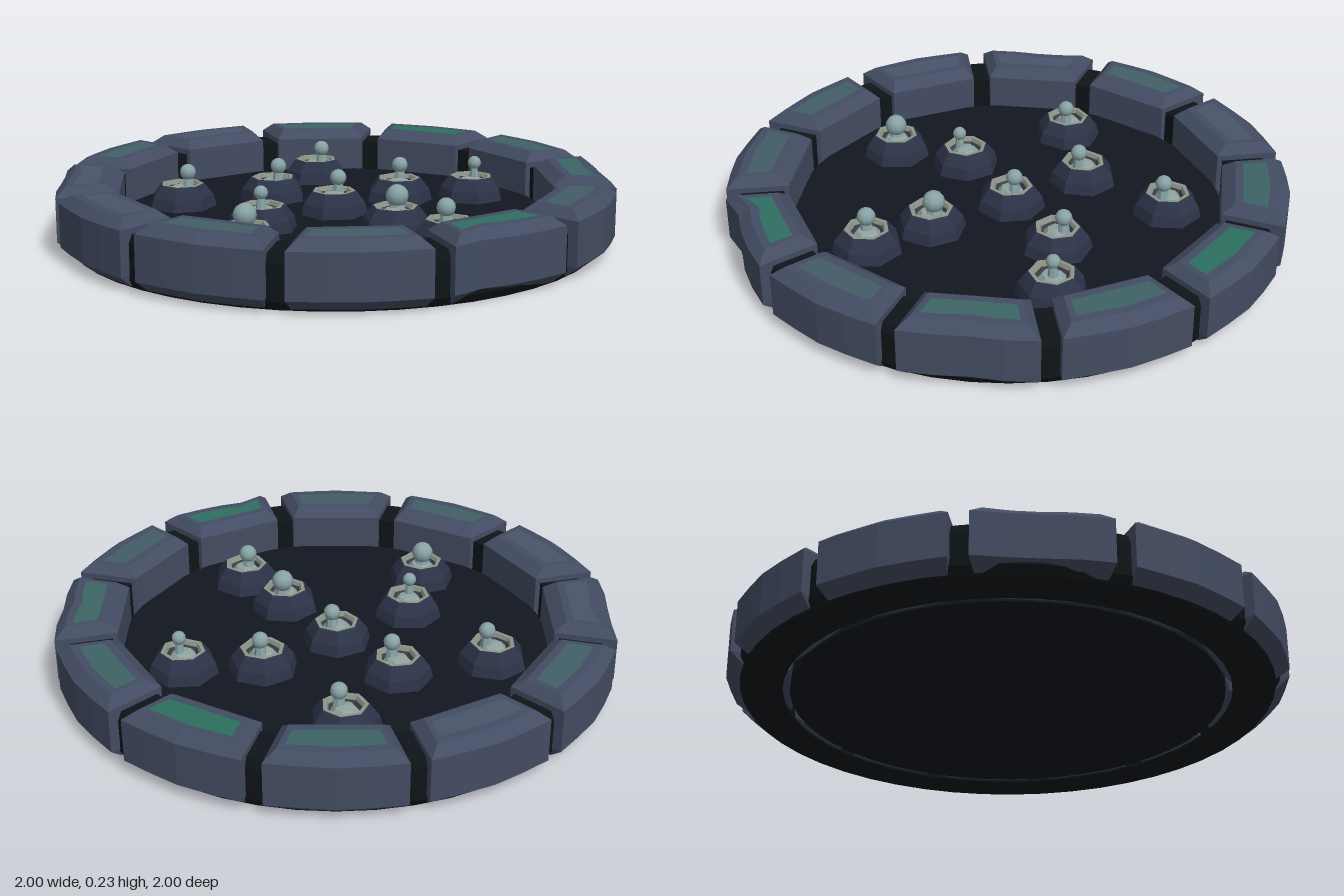
import * as THREE from 'three';

const mat = (color, flatShading = true) => new THREE.MeshStandardMaterial({ color, flatShading });

// Corner loop of one rim stone at a height: five outer points, then five back along the straight inner edge
function stoneLoop(start, y, inset, innerInset, dents) {
  const edge = (r, w) => Math.asin(w / r);
  const rOut = 1 - inset, rIn = 0.78 + innerInset, w = 0.033 + innerInset * 0.8;
  const at = (r, a) => new THREE.Vector3(r * Math.cos(a), y, r * Math.sin(a));
  const span = Math.PI / 6, outer = [], inner = [];
  const e = edge(rOut, w), f = edge(rIn, w);
  const p = at(rIn, start + f), q = at(rIn, start + span - f);
  for (let i = 0; i < 5; i++) {
    outer.push(at(rOut - dents[i], start + e + (span - 2 * e) * i / 4));
    inner.push(p.clone().lerp(q, i / 4));
  }
  return [...outer, ...inner.reverse()];
}

function fromTriangles(points) {
  const g = new THREE.BufferGeometry().setFromPoints(points);
  g.computeVertexNormals();
  return g;
}

// Flat cap over a loop, facing up or down
function cap(loop, up) {
  const tris = [];
  for (let i = 0; i < 4; i++) {
    const o0 = loop[i], o1 = loop[i + 1], n0 = loop[9 - i], n1 = loop[8 - i];
    tris.push(...(up ? [o0, n0, o1, o1, n0, n1] : [o0, o1, n0, o1, n1, n0]));
  }
  return tris;
}

// Walls joining the stacked loops
function walls(loops) {
  const tris = [];
  for (let l = 0; l < loops.length - 1; l++) {
    for (let i = 0; i < 10; i++) {
      const j = (i + 1) % 10;
      const a = loops[l][i], b = loops[l][j], c = loops[l + 1][i], d = loops[l + 1][j];
      tris.push(a, c, b, b, c, d);
    }
  }
  return tris;
}

function createRim() {
  const rim = new THREE.Group();
  rim.name = 'stoneRim';
  const body = mat(0x434c62);
  const moss = [0.55, 0.25, 0.9, 0.25, 0.3, 0, 0, 0.4, 0, 0.5, 1, 0.45];
  const worn = {
    0: [0, 0.01, 0.023, 0.012, 0],
    2: [0, 0.012, 0.022, 0.035, 0],
    6: [0, 0.012, 0.025, 0.022, 0],
  };
  for (let k = 0; k < 12; k++) {
    const dents = worn[k] || [0, 0.003, 0, 0.004, 0];
    // Height, outer inset, inner inset
    const levels = [[0.008, 0.045, 0.01], [0.045, 0, 0], [0.2, 0, 0], [0.232, 0.04, 0.04], [0.232, 0.07, 0.065]];
    const loops = levels.map(([y, o, i]) => stoneLoop(k * Math.PI / 6, y, o, i, dents));
    const stone = new THREE.Group();
    stone.name = 'rimStone' + (k + 1);
    const block = new THREE.Mesh(fromTriangles([...walls(loops), ...cap(loops[0], false)]), body);
    block.name = 'stoneBlock';
    const color = new THREE.Color(0x4a556a).lerp(new THREE.Color(0x2c7060), moss[k]);
    const top = new THREE.Mesh(fromTriangles(cap(loops[4], true)), mat(color));
    top.name = 'mossyTop';
    stone.add(block, top);
    rim.add(stone);
  }
  return rim;
}

const lathe = (pts, sides) => new THREE.LatheGeometry(pts.map(([r, y]) => new THREE.Vector2(r, y)), sides);

// Seven-sided cone with a pale cup and a bead on top
function createVent(x, z, bx, bz, r, turn) {
  const vent = new THREE.Group();
  vent.name = 'vent';
  const add = (name, geometry, material) => {
    const m = new THREE.Mesh(geometry, material);
    m.name = name;
    m.rotation.y = turn;
    vent.add(m);
    return m;
  };
  add('ventCone', lathe([[0.125, 0], [0.115, 0.04], [0.085, 0.08], [0.08, 0.084]], 7), mat(0x2c3347));
  add('ventLip', lathe([[0.08, 0.084], [0.066, 0.084], [0.06, 0.07]], 7), mat(0x8d9488));
  add('ventGroove', lathe([[0.06, 0.07], [0.052, 0.055]], 7), mat(0x3a4045));
  add('ventCup', lathe([[0.052, 0.055], [0.035, 0.075], [0, 0.08]], 7), mat(0x8fa39f));
  const bead = add('bead', new THREE.SphereGeometry(r, 10, 8), mat(0x88a3a5, false));
  bead.position.set(bx, 0.157 - r, bz);
  const stem = add('beadStem', new THREE.CylinderGeometry(r * 0.5, r * 0.8, 0.06, 7), mat(0x88a3a5));
  stem.position.set(bx, 0.09, bz);
  vent.position.set(x, 0.075, z);
  return vent;
}

export function createModel() {
  const model = new THREE.Group();
  model.name = 'ventBasin';

  // Dark floor slab
  const floor = new THREE.Mesh(new THREE.CylinderGeometry(0.775, 0.775, 0.073, 48), mat(0x121620));
  floor.name = 'floor';
  floor.position.y = 0.0385;
  model.add(floor);

  // Backing ring behind the stones, seen in the gaps
  const ring = new THREE.Mesh(
    lathe([[0.8, 0.18], [0.8, 0], [0.945, 0], [0.965, 0.03], [0.965, 0.15], [0.95, 0.18], [0.8, 0.18]], 48),
    mat(0x0e1417));
  ring.name = 'backingRing';
  model.add(ring);

  model.add(createRim());

  // x, z, bead offset x, bead offset z, bead radius
  const vents = [
    [0.12, -0.56, 0.015, 0.02, 0.03], [-0.49, -0.3, 0.02, 0.01, 0.03],
    [-0.14, -0.3, 0.015, 0.02, 0.03], [0.3, -0.13, 0.012, -0.02, 0.03],
    [0.57, -0.07, 0.012, 0, 0.025], [0, -0.01, 0.02, -0.01, 0.03],
    [-0.31, 0.12, -0.01, 0.02, 0.025], [-0.44, 0.37, -0.005, 0, 0.04],
    [0.12, 0.29, 0.01, -0.01, 0.04], [0.22, 0.52, -0.01, 0, 0.033],
  ];
  vents.forEach((v, i) => model.add(createVent(...v, i * 1.3)));
  return model;
}
